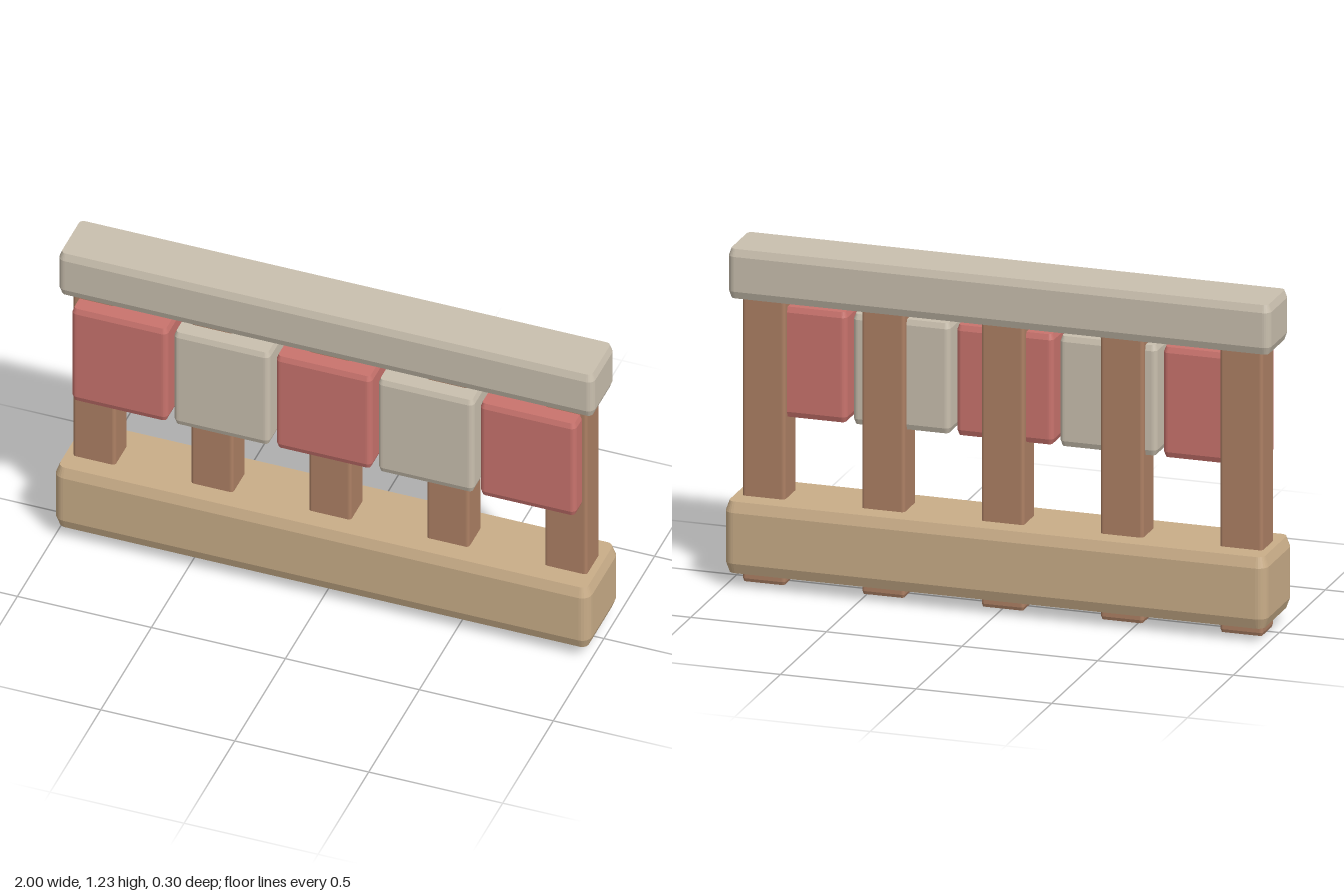
import * as THREE from 'three';

const mat = (name, color) => {
  const m = new THREE.MeshStandardMaterial({ color });
  m.name = name;
  return m;
};

// Block with rounded upright corners (radius r) and a steep chamfer at top and bottom.
function block(w, y0, y1, d, r) {
  const x = w / 2, z = d / 2;
  const s = new THREE.Shape();
  s.moveTo(x, -z + r);
  s.absarc(x - r, z - r, r, 0, Math.PI / 2);
  s.absarc(-x + r, z - r, r, Math.PI / 2, Math.PI);
  s.absarc(-x + r, -z + r, r, Math.PI, Math.PI * 1.5);
  s.absarc(x - r, -z + r, r, Math.PI * 1.5, Math.PI * 2);
  const g = new THREE.ExtrudeGeometry(s, {
    depth: y1 - y0 - 2 * r, curveSegments: 3,
    bevelEnabled: true, bevelSegments: 1,
    bevelThickness: r, bevelSize: r * 0.36, bevelOffset: -r * 0.36,
  });
  g.rotateX(-Math.PI / 2);
  g.translate(0, y0 + r, 0);
  return g;
}

export function createModel() {
  const model = new THREE.Group();
  model.name = 'railing';

  const cream = mat('cream', 0xc9bfae);
  const red = mat('faded red', 0xc9736d);
  const brown = mat('brown wood', 0xad8064);
  const tan = mat('tan wood', 0xc9ad88);

  const add = (name, geometry, material, x = 0, z = 0) => {
    const m = new THREE.Mesh(geometry, material);
    m.name = name;
    m.position.set(x, 0, z);
    model.add(m);
  };

  // Long rails
  add('baseRail', block(2, 0.053, 0.316, 0.302, 0.038), tan);
  add('topRail', block(2, 1.05, 1.232, 0.216, 0.027), cream);

  // Five posts, each with a panel in alternating colours
  const postGeometry = block(0.158, 0, 1.12, 0.125, 0.012);
  const panelGeometry = block(0.358, 0.613, 1.018, 0.168, 0.02);
  for (let i = -2; i <= 2; i++) {
    add('post', postGeometry, brown, i * 0.44);
    add('panel', panelGeometry, i % 2 === 0 ? red : cream, i * 0.381, 0.044);
  }
  return model;
}
